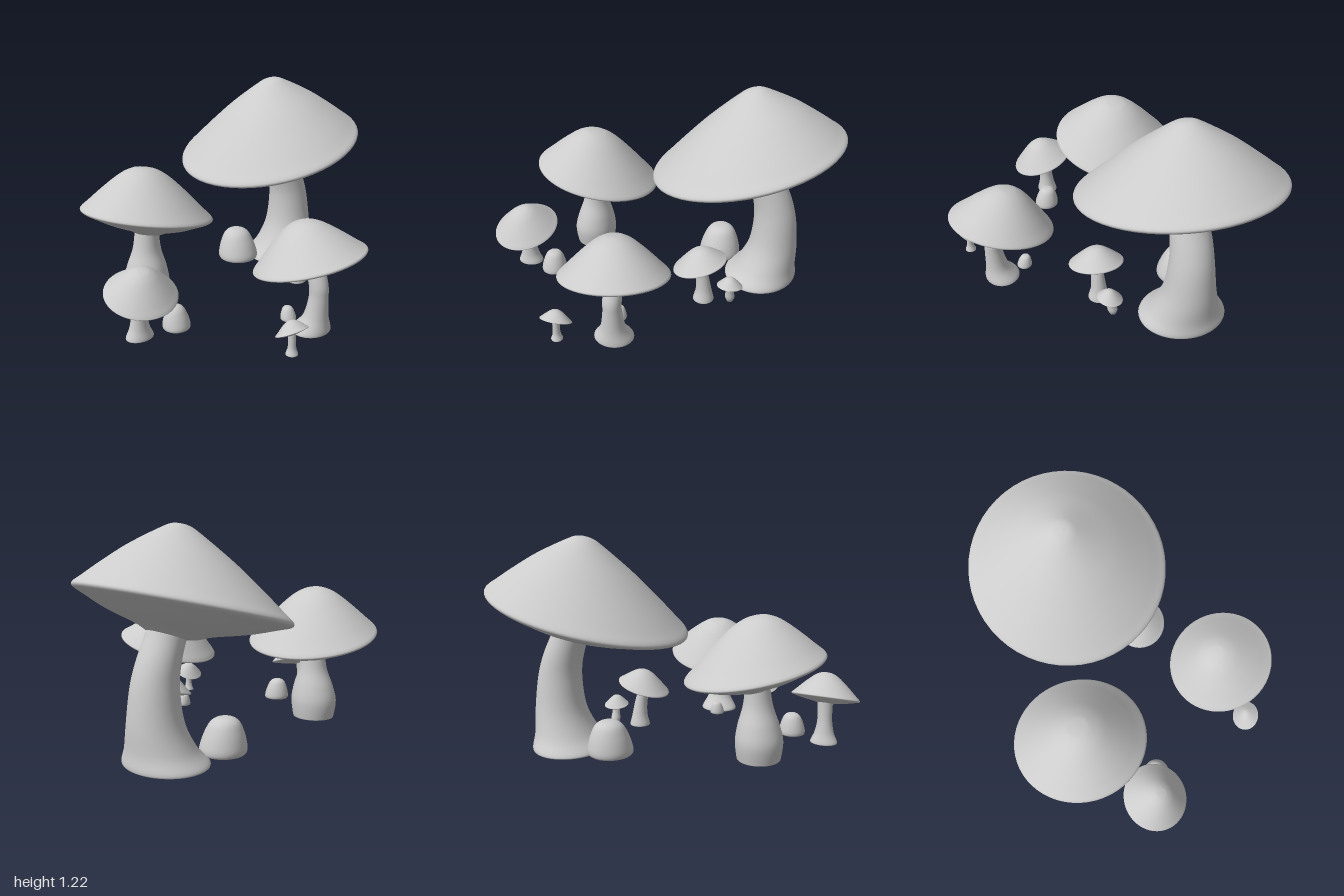
import * as THREE from 'three';
import { mergeVertices } from 'three/addons/utils/BufferGeometryUtils.js';

const material = new THREE.MeshStandardMaterial({ color: 0xcccccc });
const SIDES = 56;

// Smooth closed surface through elliptical rings, listed from bottom to top.
// Ring: [x, y, z, radiusX, radiusZ]; slope tilts every ring as dy/dx, dy/dz about the origin.
function loft(name, rings, rows, slopeX = 0, slopeZ = 0) {
  const curve = (f) => new THREE.CatmullRomCurve3(rings.map(f), false, 'catmullrom', 0.5);
  const centres = curve((r) => new THREE.Vector3(r[0], r[1], r[2]));
  const radii = curve((r) => new THREE.Vector3(r[3], r[4], 0));
  const pos = [];
  const index = [];
  for (let i = 0; i <= rows; i++) {
    const c = centres.getPoint(i / rows);
    const r = radii.getPoint(i / rows);
    for (let j = 0; j < SIDES; j++) {
      const a = (j / SIDES) * Math.PI * 2;
      const x = c.x + Math.max(0, r.x) * Math.cos(a);
      const z = c.z + Math.max(0, r.y) * Math.sin(a);
      pos.push(x, c.y + slopeX * x + slopeZ * z, z);
      if (i === rows) continue;
      const p = i * SIDES + j;
      const q = i * SIDES + ((j + 1) % SIDES);
      index.push(p, p + SIDES, q, q, p + SIDES, q + SIDES);
    }
  }
  let geo = new THREE.BufferGeometry();
  geo.setAttribute('position', new THREE.Float32BufferAttribute(pos, 3));
  geo.setIndex(index);
  geo = mergeVertices(geo, 1e-5);
  geo.computeVertexNormals();
  const mesh = new THREE.Mesh(geo, material);
  mesh.name = name;
  return mesh;
}

// Cap profiles as [radius, height] fractions, rim to apex
const cone = [[0.92, 0.1], [0.8, 0.25], [0.65, 0.43], [0.5, 0.6], [0.34, 0.76], [0.18, 0.91], [0.09, 0.98], [0, 1]];
const dome = [[0.95, 0.07], [0.86, 0.19], [0.73, 0.37], [0.54, 0.62], [0.35, 0.84], [0.19, 0.96], [0.09, 0.99], [0, 1]];
const gills = [[0, 1], [0.2, 0.9], [0.35, 0.7], [0.65, 0.42], [0.88, 0.12]];

function makeCap({ at, r, rz = r, height, depth, slope, shift = [0, 0], under = [0, 0], profile = dome }) {
  const rings = [];
  const ring = (k, h, dx, dz) => rings.push([dx, h, dz, r * k, rz * k]);
  gills.forEach(([k, t]) => ring(k, -0.05 * r - depth * t, under[0] * t, under[1] * t));
  ring(0.97, -0.05 * r, 0, 0);
  ring(1, -0.02 * r, 0, 0);
  ring(0.985, 0.015 * r, 0, 0);
  profile.forEach(([k, t]) => ring(k, height * t, shift[0] * t, shift[1] * t));
  const cap = loft('cap', rings, 64, slope[0], slope[1]);
  cap.position.set(...at);
  return cap;
}

// Stem sections: [y, x, z, radiusX, radiusZ], foot first
function makeStem(sections) {
  const full = sections.map(([y, x, z, rx, rz = rx]) => [x, y, z, rx, rz]);
  const [x, y, z, rx, rz] = full[0];
  const lip = Math.min(0.02, rx * 0.2);
  full.unshift([x, y - lip, z, 0, 0], [x, y - lip, z, rx * 0.6, rz * 0.6], [x, y - lip * 0.8, z, rx * 0.92, rz * 0.92]);
  return loft('stem', full, 48);
}

function makeMushroom(name, cap, stem) {
  const g = new THREE.Group();
  g.name = name;
  g.add(makeCap(cap), makeStem(stem));
  return g;
}

// Young bud: a lumpy dome with a flat foot
function makeBud(name, x, y, z, r, height, leanX = 0, leanZ = 0) {
  const shape = [[0, 0], [0.6, 0], [0.92, 0.03], [1, 0.14], [0.95, 0.34], [0.82, 0.6], [0.62, 0.85], [0.35, 0.97], [0, 1]];
  return loft(name, shape.map(([k, t]) => [x + leanX * t, y + height * t, z + leanZ * t, r * k, r * k]), 40);
}

export function createModel() {
  const model = new THREE.Group();
  model.name = 'mushroomCluster';

  model.add(
    makeMushroom('giantMushroom',
      { at: [-0.31, 0.82, -0.45], r: 0.565, rz: 0.55, height: 0.395, depth: 0.17, slope: [-0.027, -0.255], shift: [0, -0.01], under: [0, -0.08], profile: cone },
      [[0.025, -0.32, -0.575, 0.25, 0.215], [0.1, -0.32, -0.605, 0.2, 0.178], [0.24, -0.325, -0.637, 0.15, 0.145],
        [0.42, -0.325, -0.637, 0.125], [0.55, -0.325, -0.61, 0.115], [0.68, -0.32, -0.56, 0.108], [0.78, -0.32, -0.52, 0.11]]),

    makeMushroom('bulbousMushroom',
      { at: [-0.27, 0.565, 0.495], r: 0.375, rz: 0.37, height: 0.268, depth: 0.12, slope: [0.07, 0.2] },
      [[0.07, -0.26, 0.525, 0.125, 0.12], [0.16, -0.26, 0.525, 0.138, 0.128], [0.25, -0.26, 0.52, 0.12, 0.11],
        [0.35, -0.26, 0.515, 0.085, 0.08], [0.46, -0.26, 0.51, 0.074, 0.066], [0.54, -0.26, 0.505, 0.074, 0.066]]),

    makeMushroom('bentMushroom',
      { at: [0.575, 0.435, 0.027], r: 0.297, rz: 0.303, height: 0.222, depth: 0.06, slope: [0.25, -0.1], shift: [-0.055, 0.02], under: [0.03, 0] },
      [[0.045, 0.6, 0.027, 0.1, 0.11], [0.12, 0.625, 0.02, 0.068, 0.07], [0.23, 0.638, 0.016, 0.053],
        [0.3, 0.636, 0.016, 0.052], [0.37, 0.612, 0.016, 0.053], [0.42, 0.58, 0.016, 0.055]]),

    makeMushroom('frontMushroom',
      { at: [0.147, 0.315, 0.803], r: 0.185, rz: 0.193, height: 0.145, depth: 0.035, slope: [-0.31, -0.04], shift: [0.03, 0] },
      [[0.06, 0.12, 0.808, 0.062, 0.076], [0.11, 0.122, 0.808, 0.05, 0.055], [0.18, 0.125, 0.808, 0.042],
        [0.25, 0.13, 0.806, 0.042], [0.32, 0.135, 0.805, 0.045]]),

    makeMushroom('backMushroom',
      { at: [0.108, 0.28, -0.305], r: 0.157, rz: 0.153, height: 0.103, depth: 0.035, slope: [0, -0.29], shift: [0, 0.01] },
      [[0.04, 0.1, -0.33, 0.06], [0.1, 0.1, -0.33, 0.046], [0.18, 0.104, -0.322, 0.038],
        [0.24, 0.107, -0.308, 0.036], [0.29, 0.108, -0.3, 0.038]]),

    makeMushroom('tinySideMushroom',
      { at: [0.742, 0.175, 0.302], r: 0.073, rz: 0.09, height: 0.066, depth: 0.02, slope: [0.52, 0], shift: [-0.015, 0] },
      [[0.053, 0.745, 0.302, 0.032], [0.085, 0.745, 0.302, 0.022], [0.13, 0.745, 0.302, 0.02], [0.185, 0.742, 0.302, 0.022]]),

    makeMushroom('tinyBackMushroom',
      { at: [0.083, 0.15, -0.482], r: 0.073, rz: 0.075, height: 0.058, depth: 0.018, slope: [0.15, 0] },
      [[0.035, 0.064, -0.482, 0.02], [0.06, 0.067, -0.482, 0.028], [0.1, 0.075, -0.482, 0.024], [0.16, 0.083, -0.482, 0.022]]),

    makeBud('largeBud', -0.415, 0.025, -0.28, 0.127, 0.205, -0.02, 0),
    makeBud('frontBud', 0.175, 0.06, 0.612, 0.075, 0.132, -0.01, 0),
    makeBud('smallBud', 0.455, 0.04, 0.06, 0.044, 0.078, -0.01, 0),
  );
  return model;
}
